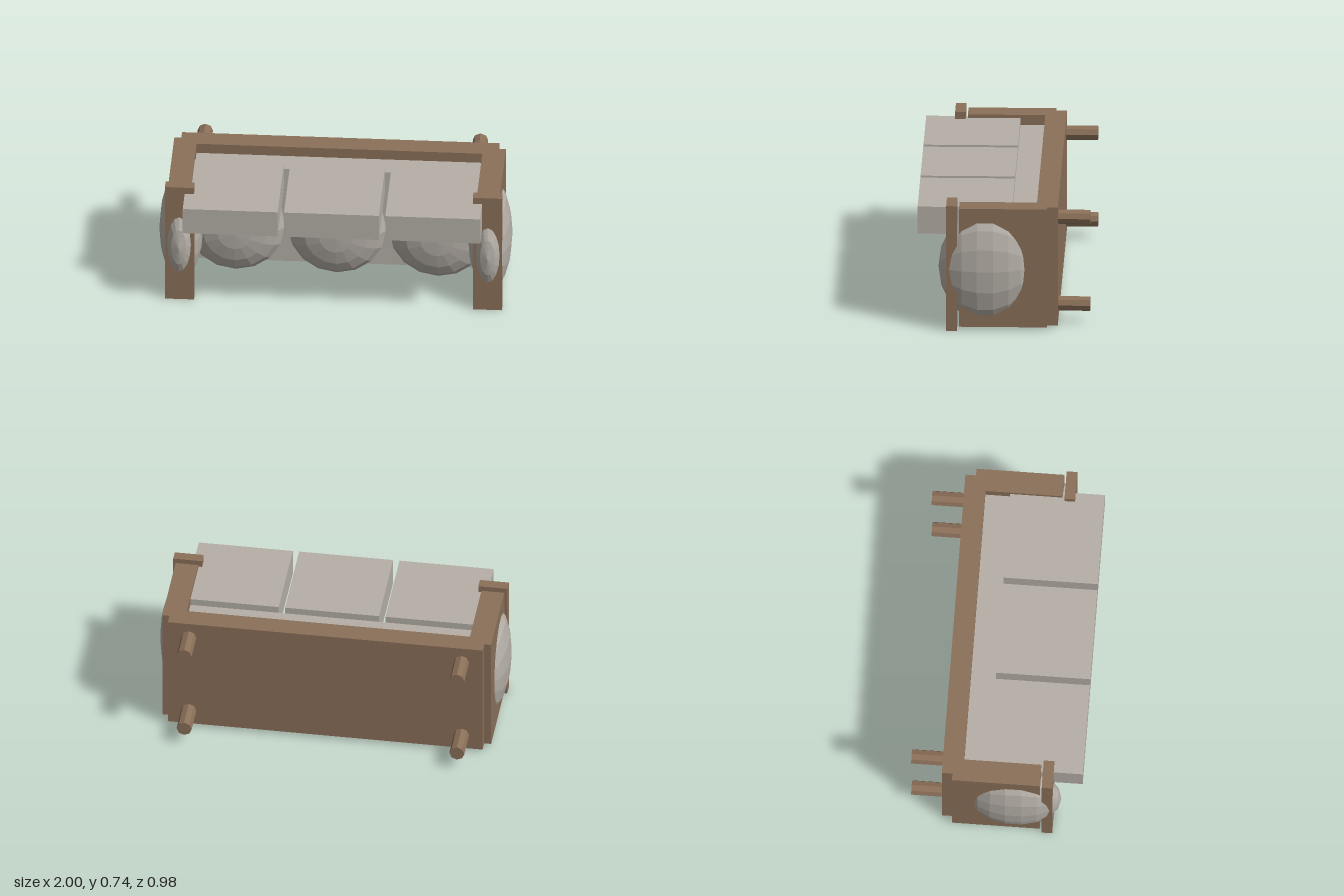
import * as THREE from 'three';

export function createModel() {
  const group = new THREE.Group();
  const wood = new THREE.MeshStandardMaterial({ color: 0x8b7059, flatShading: true });
  wood.name = 'brown wood';
  const fabric = new THREE.MeshStandardMaterial({ color: 0xb5afa7, flatShading: true });
  fabric.name = 'grey fabric';

  const add = (name, geometry, material, x, y, z) => {
    const mesh = new THREE.Mesh(geometry, material);
    mesh.name = name;
    mesh.position.set(x, y, z);
    group.add(mesh);
    return mesh;
  };
  // Box given by its low and high corners
  const box = (name, material, [x0, y0, z0], [x1, y1, z1]) =>
    add(name, new THREE.BoxGeometry(x1 - x0, y1 - y0, z1 - z0), material,
      (x0 + x1) / 2, (y0 + y1) / 2, (z0 + z1) / 2);
  // Faceted ellipsoid with its poles along z
  const pad = (name, x, y, z, rx, ry, rz) => {
    const g = new THREE.SphereGeometry(1, 16, 9);
    g.rotateX(Math.PI / 2);
    g.scale(rx, ry, rz);
    return add(name, g, fabric, x, y, z);
  };

  // Main board and the upholstered panel on it
  box('baseBoard', wood, [-0.9, 0.02, -0.31], [0.9, 0.72, -0.19]);
  box('innerPanel', fabric, [-0.81, 0.05, -0.19], [0.81, 0.66, -0.05]);

  // Three block cushions, each with a rounded cushion below
  for (const i of [-1, 0, 1]) {
    const x = i * 0.574;
    box('blockCushion', fabric, [x - 0.269, 0.54, -0.05], [x + 0.269, 0.7, 0.485]);
    pad('roundCushion', x, 0.315, 0, 0.28, 0.29, 0.12);
  }

  // Arms, their padding, end boards and feet, mirrored
  for (const s of [-1, 1]) {
    const side = s < 0 ? 'right' : 'left';
    const sided = (name, x0, x1, y0, y1, z0, z1) => box(side + name, wood,
      [Math.min(s * x0, s * x1), y0, z0], [Math.max(s * x0, s * x1), y1, z1]);
    sided('Arm', 0.81, 0.94, 0.02, 0.72, -0.25, 0.248);
    sided('ArmFront', 0.79, 0.955, 0, 0.74, 0.26, 0.32);
    pad(side + 'ArmPad', s * 0.875, 0.362, 0.1, 0.125, 0.335, 0.266);

    for (const y of [0.113, 0.627]) {
      const g = new THREE.CylinderGeometry(0.043, 0.043, 0.19, 8);
      g.rotateX(Math.PI / 2);
      add(side + 'Foot', g, wood, s * 0.78, y, -0.395);
    }
  }
  return group;
}
